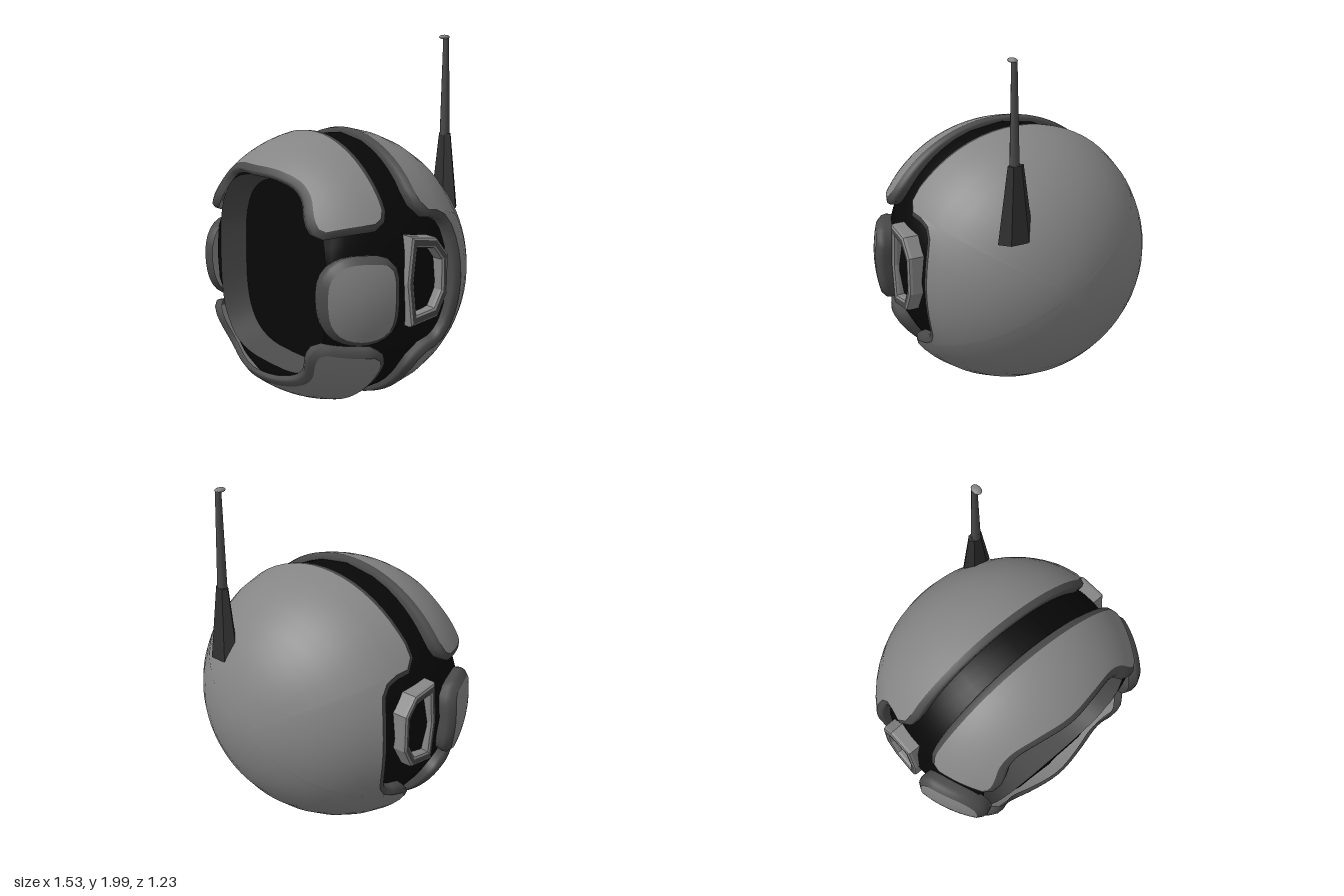
import * as THREE from 'three';
import { mergeVertices } from 'three/addons/utils/BufferGeometryUtils.js';

const V = (x, y, z) => new THREE.Vector3(x, y, z);
const CENTRE = V(0, 0.755, 0.12);
const SHELL = V(0.78, 0.755, 0.74); // half axes of the outer shells
const BODY = V(0.69, 0.725, 0.72); // half axes of the dark inner body

const paint = (color) => new THREE.MeshStandardMaterial({ color, side: THREE.DoubleSide });
const grey = paint(0x858585), trim = paint(0x4a4a4a), black = paint(0x080808), dark = paint(0x303030);

// Unit directions of points on an ellipsoid, from the side (z, y) or the front (x, y)
const fromSide = (z, y, side = 1) => {
  const uy = (y - CENTRE.y) / SHELL.y, uz = (z - CENTRE.z) / SHELL.z;
  return V(side * Math.sqrt(Math.max(0, 1 - uy * uy - uz * uz)), uy, uz);
};
const fromFront = (x, y, axes = SHELL) => {
  const ux = x / axes.x, uy = (y - CENTRE.y) / axes.y;
  return V(ux, uy, Math.sqrt(Math.max(0, 1 - ux * ux - uy * uy)));
};
const place = (dir, axes) => dir.clone().multiply(axes).add(CENTRE);

const smooth = (points, count, closed = false) => {
  const out = new THREE.CatmullRomCurve3(points, closed).getSpacedPoints(count);
  return out.map((p) => p.normalize());
};

function slerp(a, b, t) {
  const w = a.angleTo(b), s = Math.sin(w);
  if (s < 1e-5) return a.clone();
  return a.clone().multiplyScalar(Math.sin((1 - t) * w) / s).addScaledVector(b, Math.sin(t * w) / s);
}

// Rows of directions running from curve a to curve b over the sphere
const spread = (a, b, steps) =>
  Array.from({ length: steps + 1 }, (_, i) => b.map((p, j) => slerp(a[j], p, i / steps)));

// Surface through rows of points, turned to face away from the centre
function loft(rows) {
  const n = rows[0].length, index = [];
  const mid = rows.length >> 1, h = n >> 1;
  const p = rows[mid][h];
  const normal = rows[mid - 1][h].clone().sub(p).cross(rows[mid][h - 1].clone().sub(p));
  const flip = normal.dot(p.clone().sub(CENTRE)) < 0;
  for (let i = 0; i + 1 < rows.length; i++) {
    for (let j = 0; j + 1 < n; j++) {
      const a = i * n + j, b = a + 1, c = a + n, d = c + 1;
      index.push(...(flip ? [a, c, b, b, c, d] : [a, b, c, b, d, c]));
    }
  }
  let geo = new THREE.BufferGeometry().setFromPoints(rows.flat());
  geo.setIndex(index);
  geo = mergeVertices(geo, 1e-4);
  geo.computeVertexNormals();
  return geo;
}

function add(parent, name, geo, material) {
  const mesh = new THREE.Mesh(geo, material);
  mesh.name = name;
  parent.add(mesh);
}

// Shell panel with a bevelled rim that drops onto the body; the loop is its closed edge
function panel(parent, name, rows, loop) {
  const group = new THREE.Group();
  group.name = name;
  parent.add(group);
  add(group, name + 'Surface', loft(rows.map((r) => r.map((d) => place(d, SHELL)))), grey);

  const n = loop.length;
  const middle = rows.flat().reduce((s, d) => s.add(d), V(0, 0, 0)).normalize();
  const outs = loop.map((d, j) => {
    const t = loop[(j + 1) % n].clone().sub(loop[(j + n - 1) % n]);
    return t.cross(d).normalize();
  });
  const turn = outs.reduce((s, o, j) => s + o.dot(loop[j].clone().sub(middle)), 0) < 0 ? -1 : 1;
  const ring = (offset, drop) => {
    const pts = loop.map((d, j) => {
      const dir = d.clone().addScaledVector(outs[j], turn * offset).normalize();
      return place(dir, SHELL).lerp(place(dir, BODY.clone().multiplyScalar(0.985)), drop);
    });
    return [...pts, pts[0]];
  };
  add(group, name + 'Rim', loft([ring(0, 0), ring(0.042, 0.2), ring(0.054, 0.45), ring(0.048, 1)]), trim);
}

export function createModel() {
  const model = new THREE.Group();
  model.name = 'helmet';

  // Back shell, with a notch round each ear
  const half = [];
  for (let a = 90; a >= 36; a -= 9) {
    const r = a * Math.PI / 180;
    half.push(V(0.988 * Math.cos(r), 0.988 * Math.sin(r), -0.152));
  }
  for (const [z, y] of [[-0.03, 1.14], [-0.15, 1.11], [-0.21, 1.045], [-0.24, 0.92]]) half.push(fromSide(z, y));
  half.push(fromSide(-0.25, CENTRE.y));
  const down = half.slice(0, -1).reverse().map((d) => V(d.x, -d.y, d.z));
  const right = [...half, ...down];
  const left = right.slice(1, -1).reverse().map((d) => V(-d.x, d.y, d.z));
  const backEdge = smooth([...right, ...left], 72, true);
  const pole = V(0, 0, -1);
  panel(model, 'backShell', spread(backEdge.map(() => pole), backEdge, 9), backEdge.slice(0, -1));

  // Brow and chin panels, the chin being the brow turned upside down
  const browFront = [[0, 1.34], [0.2, 1.33], [0.35, 1.285], [0.43, 1.225], [0.49, 1.14], [0.53, 1.085], [0.56, 1.07]];
  const browRear = [[0.25, 1.48], [0.25, 1.42], [0.25, 1.33], [0.25, 1.23], [0.255, 1.16], [0.275, 1.12], [0.31, 1.1]];
  const across = 36;
  for (const [name, s] of [['browPanel', 1], ['chinPanel', -1]]) {
    const edge = (pts) => smooth([...pts.slice(1).reverse().map((d) => V(-d.x, d.y, d.z)), ...pts]
      .map((d) => V(d.x, s * d.y, d.z)), across);
    const rearRow = edge([V(0, 0.985, 0.176), ...browRear.map(([z, y]) => fromSide(z, y))]);
    const frontRow = edge(browFront.map(([x, y]) => fromFront(x, y)));
    const rows = spread(rearRow, frontRow, 6);
    const last = rows.length - 1;
    const loop = [
      ...rows[0],
      ...rows.slice(1, last).map((r) => r[across]),
      ...rows[last].slice().reverse(),
      ...rows.slice(1, last).reverse().map((r) => r[0]),
    ];
    panel(model, name, rows, loop);
  }

  // Cheek pads
  const cheek = [[0.27, 0.565], [0.255, 0.74], [0.27, 0.89], [0.38, 0.915], [0.49, 0.9],
    [0.55, 0.84], [0.565, 0.72], [0.54, 0.6], [0.48, 0.535], [0.36, 0.515]];
  for (const side of [1, -1]) {
    const edge = smooth(cheek.map(([z, y]) => fromSide(z, y, side)), 32, true);
    const centre = fromSide(0.41, 0.72, side);
    panel(model, side > 0 ? 'leftCheekPad' : 'rightCheekPad',
      spread(edge.map(() => centre), edge, 5), edge.slice(0, -1));
  }

  // Dark body, open at the face with a flattened lip
  const opening = Array.from({ length: 49 }, (_, i) => {
    const a = i / 48 * Math.PI * 2, c = Math.cos(a), s = Math.sin(a), e = 2 / 3.1;
    return fromFront(0.53 * Math.sign(c) * Math.abs(c) ** e,
      CENTRE.y + 0.515 * Math.sign(s) * Math.abs(s) ** e, BODY);
  });
  const bodyRows = spread(opening.map(() => pole), opening, 24).map((row) => row.map((d) => {
    const p = place(d, BODY);
    p.z = Math.min(p.z, 0.515);
    return p;
  }));
  add(model, 'innerBody', loft(bodyRows), black);

  // Visor frame sloping back to the recessed visor
  const lip = bodyRows[bodyRows.length - 1];
  const inner = lip.map((p) => V(p.x * 0.925, CENTRE.y + (p.y - CENTRE.y) * 0.925, 0.37));
  add(model, 'visorFrame', loft([lip, inner]), trim);
  const visor = new THREE.ShapeGeometry(new THREE.Shape(inner.slice(0, -1).map((p) => new THREE.Vector2(p.x, p.y))));
  add(model, 'visor', visor.translate(0, 0, 0.37), black);

  // Ear rings, drawn in the side plane
  const ear = [[0.105, 1.005], [-0.04, 0.985], [-0.11, 0.9], [-0.11, 0.7], [-0.05, 0.59], [0.105, 0.565], [0.13, 0.78]];
  const outline = (k) => ear.map(([z, y]) => new THREE.Vector2(-(0.01 + (z - 0.01) * k), 0.785 + (y - 0.785) * k));
  const earShape = new THREE.Shape(outline(1));
  earShape.holes.push(new THREE.Path(outline(0.86).reverse()));
  for (const side of [1, -1]) {
    const geo = new THREE.ExtrudeGeometry(earShape, {
      depth: 0.12, bevelSize: 0.014, bevelThickness: 0.02, bevelSegments: 2,
    });
    geo.rotateY(Math.PI / 2).translate(side * 0.64 - 0.06, 0, 0);
    add(model, side > 0 ? 'leftEarRing' : 'rightEarRing', geo, [trim, grey]);
  }

  // Antenna on the back left
  const antenna = new THREE.Group();
  antenna.name = 'antenna';
  antenna.position.set(0.27, 0, -0.475);
  model.add(antenna);
  const base = new THREE.CylinderGeometry(0.045, 0.102, 0.41, 6).toNonIndexed();
  base.rotateY(Math.PI / 6).scale(1, 1, 0.58).translate(-0.002, 1.255, 0);
  base.computeVertexNormals();
  add(antenna, 'antennaBase', base, dark);
  add(antenna, 'antennaRod', new THREE.CylinderGeometry(0.016, 0.027, 0.54, 8).translate(0.002, 1.72, 0.005), trim);
  add(antenna, 'antennaTip', new THREE.SphereGeometry(0.03, 12, 8).scale(0.8, 0.4, 1.1).translate(0.004, 1.988, 0.02), grey);

  return model;
}
